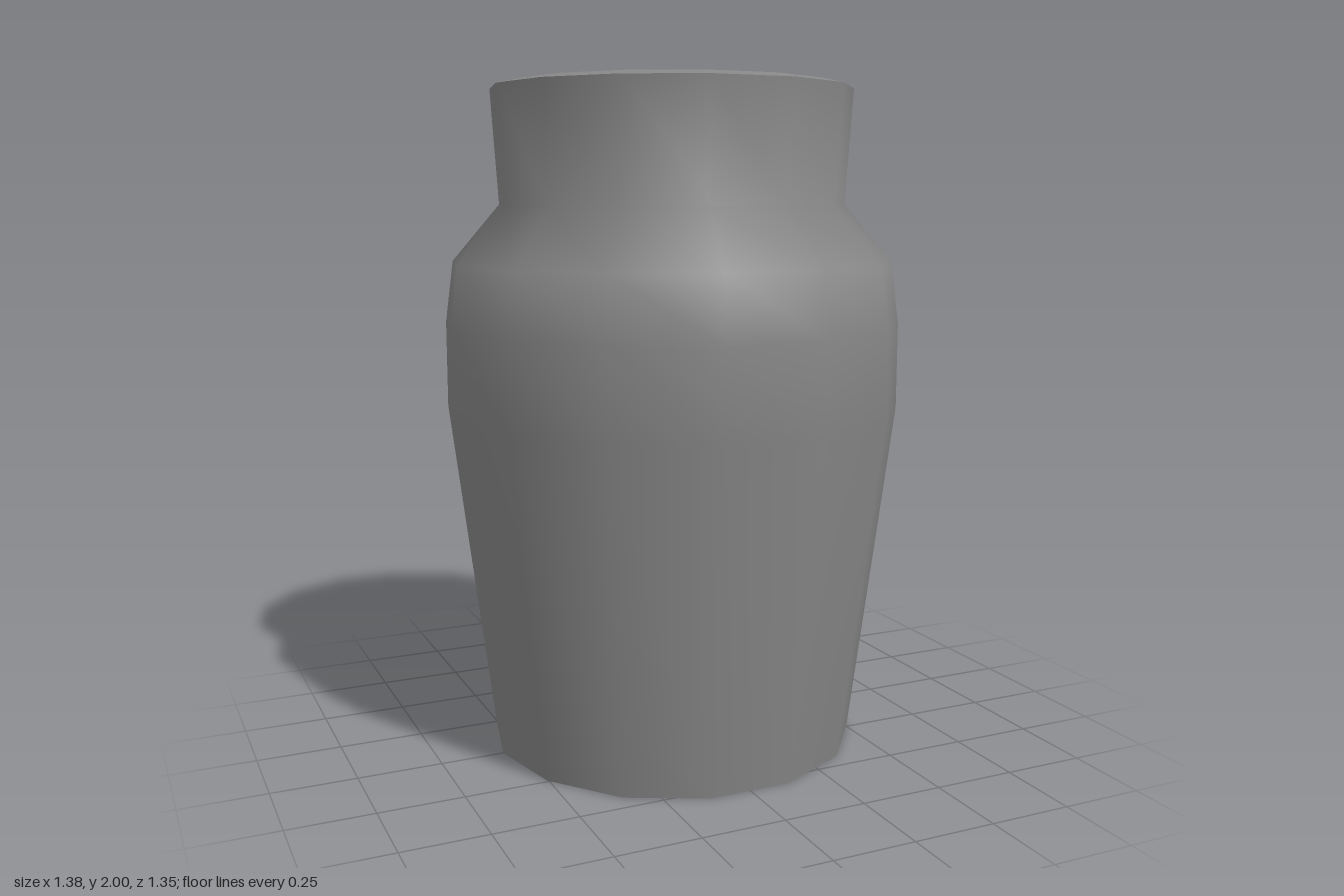
import * as THREE from 'three';

const SIDES = 14;
const material = new THREE.MeshStandardMaterial({ color: 0x878787 });

// Revolve a profile of [radius, height] pairs, with a corner on the x axis
function turned(name, profile) {
  const points = profile.map(([r, y]) => new THREE.Vector2(r, y));
  const geometry = new THREE.LatheGeometry(points, SIDES, Math.PI / 2);
  const mesh = new THREE.Mesh(geometry, material);
  mesh.name = name;
  return mesh;
}

export function createModel() {
  const jar = new THREE.Group();
  jar.name = 'jar';

  // Each part is a separate surface so the edges between them stay sharp
  jar.add(
    turned('base', [[0, 0], [0.56, 0]]),
    // Tapered belly, shoulder and flared neck
    turned('body', [[0.56, 0], [0.69, 1.03], [0.69, 1.29], [0.665, 1.475], [0.52, 1.645], [0.542, 1.985]]),
    // Lip rising slightly towards the mouth
    turned('rim', [[0.542, 1.985], [0.475, 2]]),
    // Shallow recess closed by a flat disc
    turned('innerWall', [[0.475, 2], [0.44, 1.95]]),
    turned('mouthDisc', [[0.44, 1.95], [0, 1.95]]),
  );
  return jar;
}
